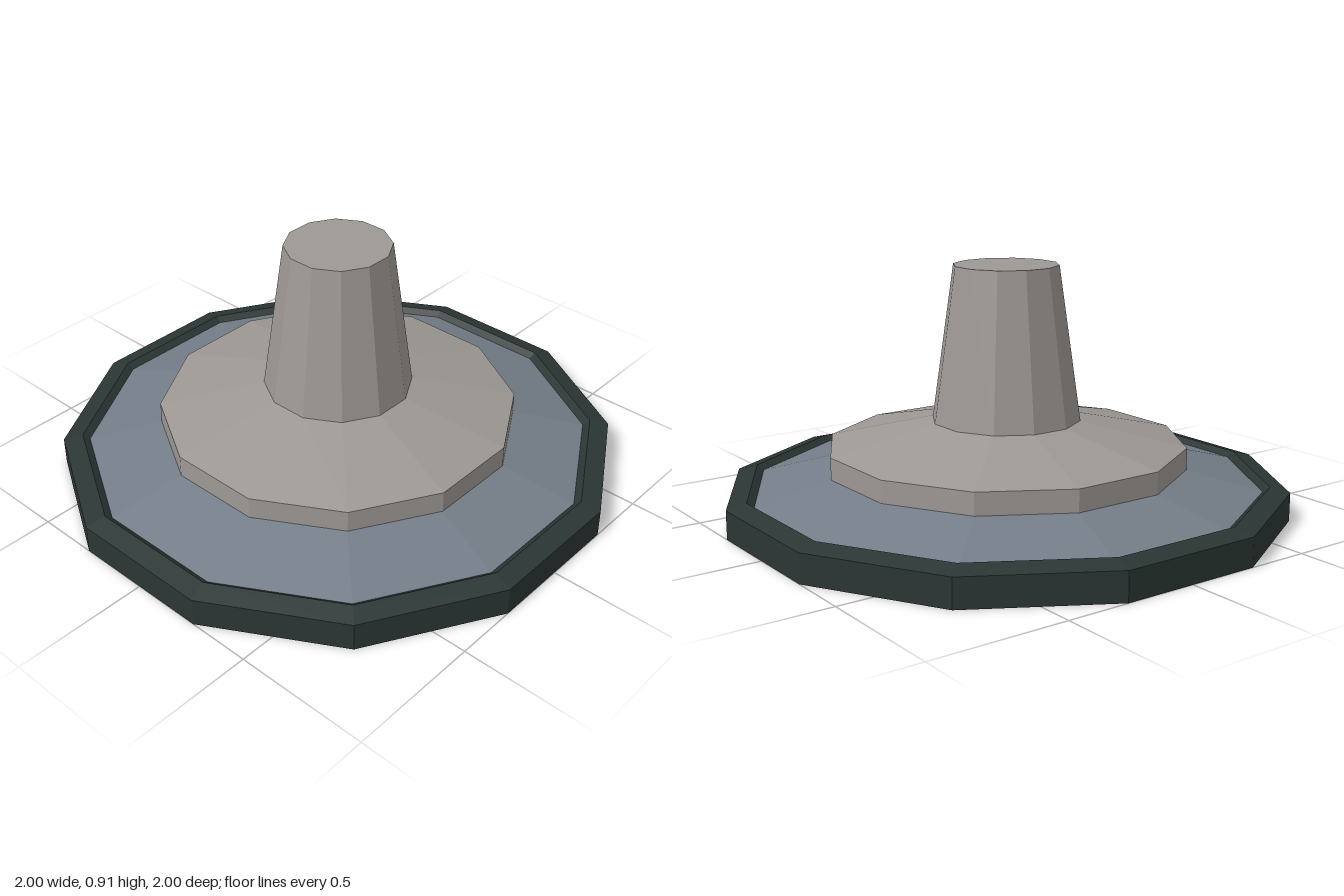
import * as THREE from 'three';

const SIDES = 12;

function material(name, color) {
  const m = new THREE.MeshStandardMaterial({ color, flatShading: true });
  m.name = name;
  return m;
}

// Twelve-sided turned part; the profile lists [distance to flat side, height] from bottom to top.
function turned(name, mat, profile) {
  const toCorner = 1 / Math.cos(Math.PI / SIDES);
  const points = profile.map(([r, y]) => new THREE.Vector2(r * toCorner, y));
  const mesh = new THREE.Mesh(new THREE.LatheGeometry(points, SIDES, Math.PI / SIDES), mat);
  mesh.name = name;
  return mesh;
}

export function createModel() {
  const stone = material('warm grey stone', 0x9d9894);
  const slate = material('blue grey slate', 0x747d88);
  const dark = material('dark green grey', 0x2b3634);

  const model = new THREE.Group();
  model.name = 'pedestal';
  model.add(
    // flat underside
    turned('underside', slate, [[0, 0], [1, 0]]),
    // outer band with a bevelled top and a small inner lip
    turned('rim', dark, [[1, 0], [1, 0.105], [0.93, 0.124], [0.905, 0.105]]),
    // shallow cone between rim and step
    turned('baseSlope', slate, [[0.905, 0.105], [0.64, 0.176]]),
    // raised step with its sloping top
    turned('step', stone, [[0.64, 0.176], [0.64, 0.257], [0.265, 0.345]]),
    // tapered column, closed at the top
    turned('column', stone, [[0.265, 0.345], [0.187, 0.912], [0, 0.912]])
  );
  return model;
}
